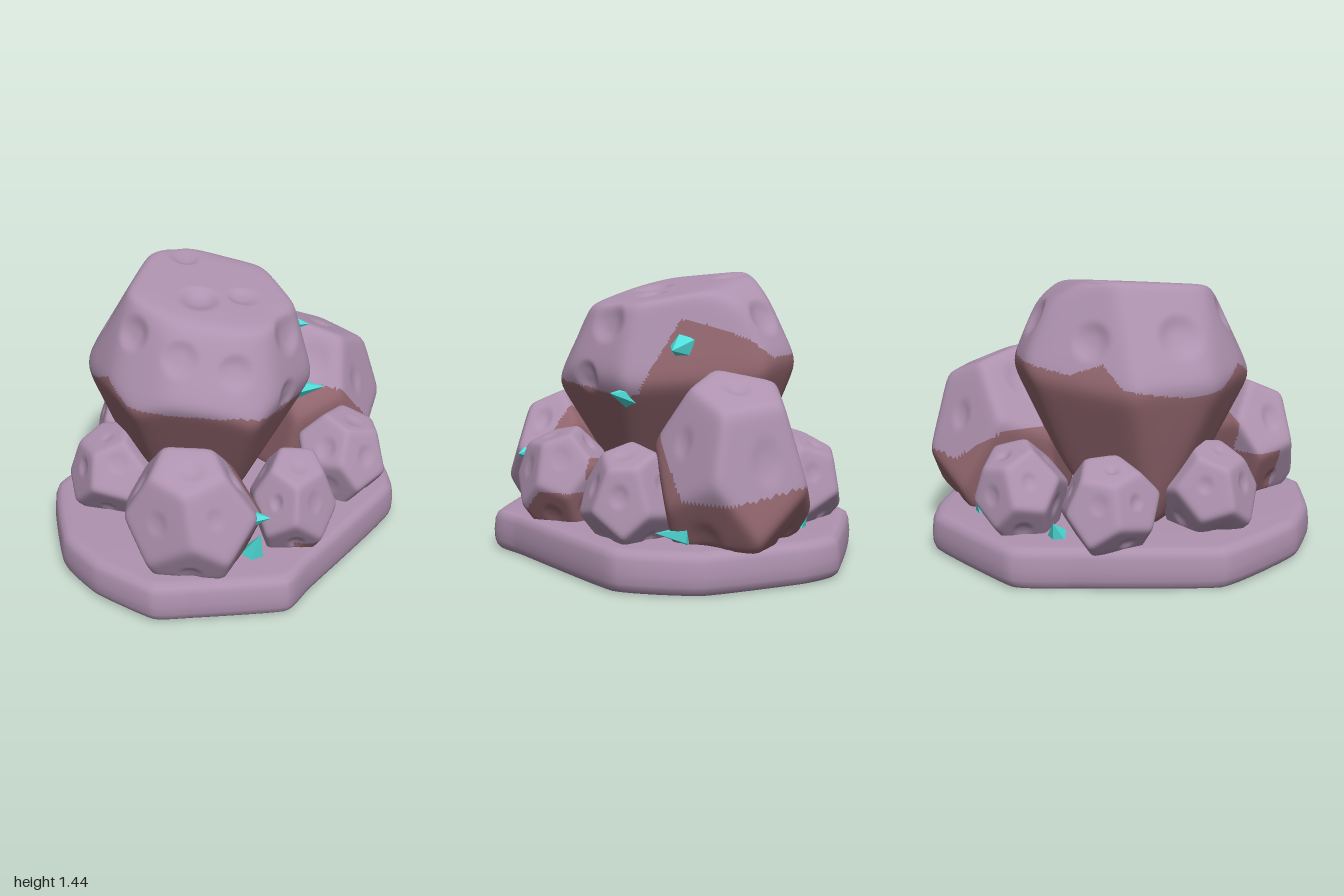
import * as THREE from 'three';
import { mergeVertices } from 'three/addons/utils/BufferGeometryUtils.js';

const mat = (name, color) => Object.assign(new THREE.MeshStandardMaterial({ color }), { name });
const clamp = THREE.MathUtils.clamp;

function rng(seed) {
  let s = seed * 7919 + 17;
  return () => (s = (s * 16807) % 2147483647) / 2147483647;
}

// unit direction from azimuth (0 = +x, 90 = +z) and elevation in degrees
function dir(az, el) {
  const a = az * Math.PI / 180, e = el * Math.PI / 180;
  return new THREE.Vector3(Math.cos(a) * Math.cos(e), Math.sin(e), Math.sin(a) * Math.cos(e));
}

function smooth(geo) {
  geo.deleteAttribute('normal');
  geo.deleteAttribute('uv');
  const g = mergeVertices(geo, 1e-4);
  g.computeVertexNormals();
  return g;
}

// cut planes of a roughly dodecahedral rock that leans away from the centre
function rockPlanes(seed, lowerEl, bottom, lean) {
  const r = rng(seed), turn = r() * 72;
  const list = [[r() * 360, 84 + r() * 4, 0.95]];
  for (let i = 0; i < 5; i++) {
    list.push([turn + i * 72 + r() * 14, 27 + r() * 8, 0.95 + r() * 0.06]);
    list.push([turn + 36 + i * 72 + r() * 14, lowerEl + r() * 8, 0.95 + r() * 0.06]);
  }
  const planes = list.map(([a, e, d]) => ({ n: dir(a, e).applyQuaternion(lean), d }));
  planes.push({ n: new THREE.Vector3(0, -1, 0), d: bottom });
  return planes;
}

// rock: sphere cut by planes with softened edges, dented, fitted to a box
function rockGeometry(cuts, pits, lo, hi, detail, isStem) {
  const geo = smooth(new THREE.IcosahedronGeometry(1, detail));
  const p = geo.attributes.position, v = new THREE.Vector3();
  for (let i = 0; i < p.count; i++) {
    v.fromBufferAttribute(p, i).normalize();
    let sum = 0;
    for (const c of cuts) sum += Math.pow(Math.max(0, v.dot(c.n)) / c.d, 26);
    let r = Math.pow(sum, -1 / 26);
    for (const c of pits) {
      const t = v.distanceTo(c.n) / c.size;
      if (t < 1) r *= 1 - c.depth * (1 - t * t * t) * (1 - t * t * t);
    }
    p.setXYZ(i, v.x * r, v.y * r, v.z * r);
  }
  geo.computeBoundingBox();
  const { min, max } = geo.boundingBox;
  const fit = (x, k) => lo[k] + (x - min.getComponent(k)) / (max.getComponent(k) - min.getComponent(k)) * (hi[k] - lo[k]);
  for (let i = 0; i < p.count; i++) p.setXYZ(i, fit(p.getX(i), 0), fit(p.getY(i), 1), fit(p.getZ(i), 2));
  geo.computeVertexNormals();

  // sort triangles into the shell and the darker underside
  const sets = [[], []], idx = geo.index.array;
  for (let i = 0; i < idx.length; i += 3) {
    const t = [idx[i], idx[i + 1], idx[i + 2]];
    const mid = f => (f(t[0]) + f(t[1]) + f(t[2])) / 3;
    const x = mid(j => p.getX(j)), y = mid(j => p.getY(j)), z = mid(j => p.getZ(j));
    sets[isStem && isStem(x, y, z) ? 1 : 0].push(...t);
  }
  geo.setIndex([...sets[0], ...sets[1]]);
  geo.clearGroups();
  geo.addGroup(0, sets[0].length, 0);
  geo.addGroup(sets[0].length, sets[1].length, 1);
  return geo;
}

export function createModel() {
  const group = new THREE.Group();
  const shell = mat('mauve stone', 0xae92af);
  const under = mat('brown stone', 0x92666e);
  const teal = mat('teal crystal', 0x4fdeda);
  const add = (name, geo, material) => {
    const m = new THREE.Mesh(geo, material);
    m.name = name;
    group.add(m);
    return m;
  };

  // base slab: lathe profile stretched to an irregular outline
  const outline = new THREE.CatmullRomCurve3([
    [0, 0.96], [0.46, 0.82], [0.55, 0.62], [0.9, -0.16], [0.77, -0.58], [0.35, -0.92], [0.14, -1],
    [-0.45, -0.82], [-0.6, -0.55], [-0.9, 0.13], [-0.72, 0.64], [-0.5, 0.85], [-0.18, 1],
  ].map(([x, z]) => new THREE.Vector3(x, 0, z)), true, 'catmullrom', 0.2);
  const profile = [[0, 0], [0.94, 0], [0.965, 0.003], [0.985, 0.02], [0.997, 0.05], [1, 0.1], [0.993, 0.16],
    [0.98, 0.19], [0.955, 0.204], [0.92, 0.208], [0.7, 0.215], [0, 0.22]];
  const slab = new THREE.LatheGeometry(profile.map(q => new THREE.Vector2(...q)), 104);
  const sp = slab.attributes.position, uv = slab.attributes.uv;
  for (let i = 0; i < sp.count; i++) {
    const k = Math.hypot(sp.getX(i), sp.getZ(i)), o = outline.getPoint(uv.getX(i) % 1);
    sp.setXYZ(i, o.x * k, sp.getY(i), o.z * k);
  }
  add('baseSlab', smooth(slab), shell);

  // main boulder on its tapering stem: azimuth, elevation, distance
  const mainPlanes = [
    [37, 79, 0.37], [0, -90, 0.83], [-70, 58, 0.5], [80, 56, 0.48],
    [18, 16, 0.53], [55, 22, 0.55], [82, 27, 0.5], [115, 24, 0.49], [145, 20, 0.5], [180, 30, 0.47],
    [-128, 22, 0.48], [-80, 24, 0.54], [-32, 12, 0.46],
    [20, -24, 0.55], [90, -27, 0.54], [140, -22, 0.53], [180, -15, 0.555], [-125, -20, 0.52], [-85, -20, 0.55], [-35, -32, 0.46],
  ].map(([a, e, d]) => ({ n: dir(a, e), d }));
  const mainDents = [
    [78, 66, 0.28, 0.09], [15, 55, 0.2, 0.05], [-120, 60, 0.18, 0.05], [90, 20, 0.2, 0.04], [60, 12, 0.18, 0.04],
    [125, 28, 0.2, 0.05], [175, 22, 0.26, 0.06], [20, 22, 0.22, 0.05], [-130, 20, 0.22, 0.05],
    [-80, 25, 0.2, 0.05], [30, -8, 0.16, 0.04],
  ].map(([a, e, size, depth]) => ({ n: dir(a, e), size, depth }));
  // underside edge: level in front, rising at the rear and beside the rear boulder
  add('mainBoulder', rockGeometry(mainPlanes, mainDents, [-0.685, 0.19, -0.6], [0.45, 1.44, 0.59], 42,
    (x, y, z) => y < 0.92 - 0.3 * Math.max(0, x - 0.2) - 0.2 * Math.min(z, 0)
      + 0.09 * Math.max(0, 1 - Math.abs(x + 0.51) / 0.12)
      + clamp(x / 0.1, 0, 1) * (1.8 * clamp(-z - 0.03, 0, 0.16) - 0.6 * Math.max(0, -z - 0.2))), [shell, under]);

  // surrounding boulders: name, seed, box corners, lower face angle, bottom cut, lean, underside rule
  const rocks = [
    ['rearBoulder', 3, [0.01, 0.19, -0.92], [0.76, 1.0, -0.13], -24, 0.62, 18,
      (x, y, z) => y < 0.43 + Math.min(0.39, 1.4 * Math.max(0, z + 0.45))
        + 1.1 * Math.max(0, 0.22 - x) + 0.25 * Math.max(0, -z - 0.7)],
    ['frontBoulder', 9, [-0.37, 0.19, 0.45], [0.3, 0.8, 0.97], -28, 0.75, 16,
      (x, y, z) => (x > 0.05 && z < 0.55 + (0.8 - y) * 0.36) || (x < -0.2 && y < 0.46 && z < 0.76) || z < 0.54],
    ['rightFrontBoulder', 8, [0.2, 0.18, 0.14], [0.64, 0.67, 0.65], -30, 0.85, 16,
      (x, y, z) => (y < 0.37 - Math.max(0, z - 0.42) && x > 0.45) || z < 0.2],
    ['rightBoulder', 11, [0.38, 0.18, -0.35], [0.85, 0.65, 0.13], -30, 0.85, 18, null],
    ['leftFrontBoulder', 14, [-0.78, 0.18, -0.02], [-0.28, 0.63, 0.47], -30, 0.85, 18, null],
    ['leftRearBoulder', 17, [-0.78, 0.18, -0.57], [-0.3, 0.62, -0.08], -30, 0.85, 18, null],
    ['backBoulder', 21, [-0.42, 0.18, -0.87], [0.08, 0.64, -0.4], -30, 0.85, 18, null],
  ];
  for (const [name, seed, lo, hi, lowerEl, bottom, tilt, rule] of rocks) {
    const r = rng(seed + 50);
    const outward = new THREE.Vector3(lo[0] + hi[0], 0, lo[2] + hi[2]).normalize();
    const axis = new THREE.Vector3(0, 1, 0).cross(outward);
    const lean = new THREE.Quaternion().setFromAxisAngle(axis, tilt * Math.PI / 180);
    const planes = rockPlanes(seed, lowerEl, bottom, lean);
    // shallow craters near the middle of the faces
    const dents = planes.slice(0, -1).map(({ n }) => ({
      n: n.clone().add(new THREE.Vector3(r() - 0.5, r() - 0.5, r() - 0.5).multiplyScalar(0.2)).normalize(),
      size: 0.18 + r() * 0.12, depth: 0.03 + r() * 0.03,
    }));
    add(name, rockGeometry(planes, dents, lo, hi, 22, rule), [shell, under]);
  }

  // crystals wedged between the rocks: root, tip, radius
  const crystals = [
    [[0.27, 0.485, 0.73], [0.36, 0.495, 0.73], 0.042],
    [[0.26, 0.21, 0.63], [0.305, 0.36, 0.68], 0.06],
    [[-0.3, 0.22, 0.55], [-0.37, 0.34, 0.55], 0.055],
    [[0.37, 0.84, 0.04], [0.53, 0.88, 0.06], 0.055],
    [[0.26, 1.1, -0.2], [0.41, 1.09, -0.22], 0.07],
    [[-0.41, 0.22, -0.54], [-0.45, 0.3, -0.58], 0.05],
    [[0.08, 0.21, -0.74], [0.07, 0.31, -0.8], 0.055],
    [[0.64, 0.25, -0.44], [0.67, 0.25, -0.27], 0.055],
  ];
  crystals.forEach(([root, tip, radius], i) => {
    const a = new THREE.Vector3(...root), b = new THREE.Vector3(...tip), d = b.clone().sub(a);
    const cone = new THREE.ConeGeometry(radius, d.length(), 5).toNonIndexed();
    cone.computeVertexNormals();
    const m = add('crystal' + (i + 1), cone, teal);
    m.position.copy(a).addScaledVector(d, 0.5);
    m.quaternion.setFromUnitVectors(new THREE.Vector3(0, 1, 0), d.normalize());
  });

  return group;
}
